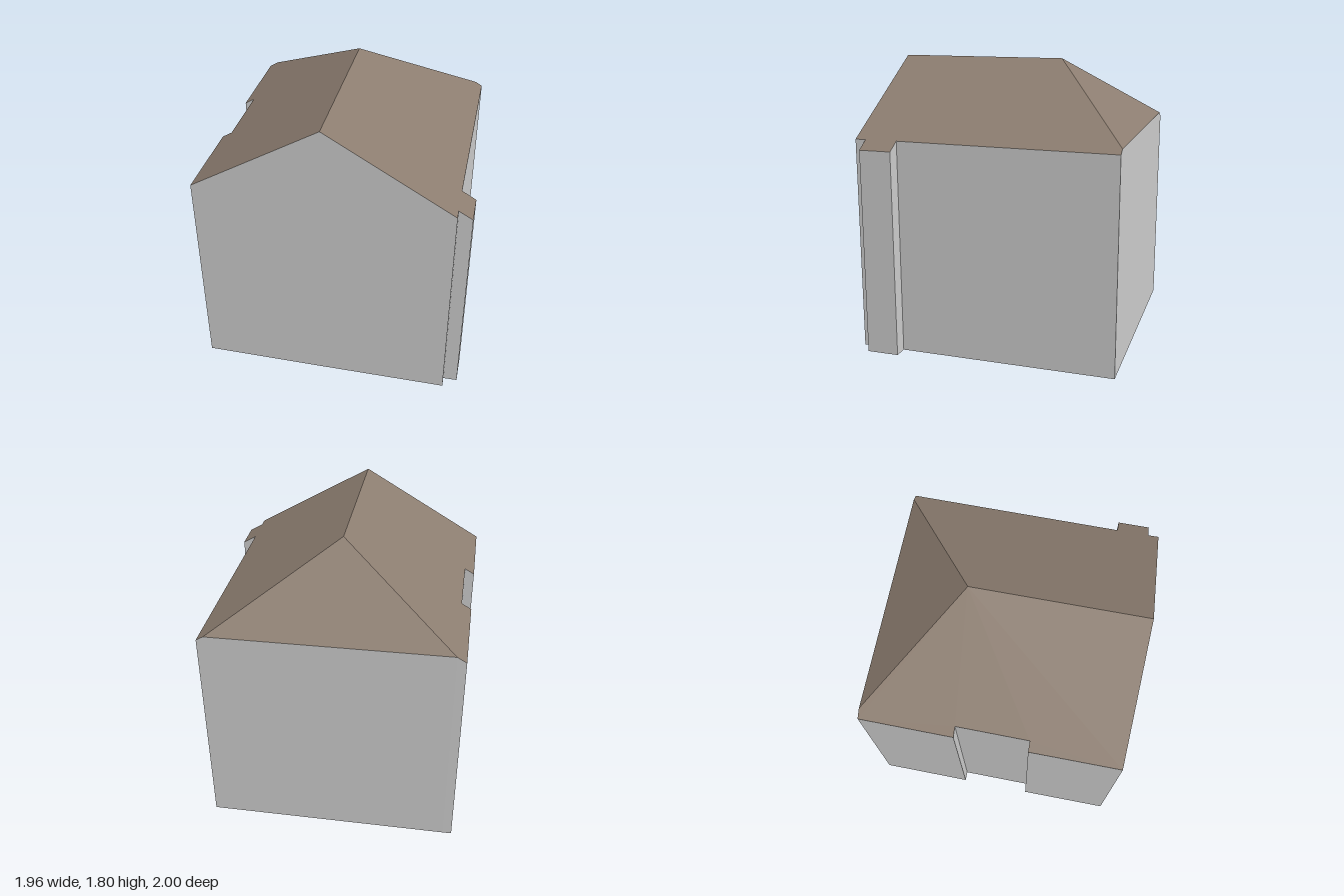
import * as THREE from 'three';

const wallMat = new THREE.MeshStandardMaterial({ color: 0xcccccc });
wallMat.name = 'pale grey walls';
const roofMat = new THREE.MeshStandardMaterial({ color: 0x8c7d70 });
roofMat.name = 'brown roof';

// Ridge ends; the house is turned slightly about the vertical axis
const RIDGE = 1.805;
const front = [-0.22, 0.782], back = [0.075, -0.265];
const len = Math.hypot(back[0] - front[0], back[1] - front[1]);
const dir = [(back[0] - front[0]) / len, (back[1] - front[1]) / len];

// Roof height falls evenly to either side of the ridge line
function lift([x, z]) {
  const across = -(x - front[0]) * dir[1] + (z - front[1]) * dir[0];
  return new THREE.Vector3(x, RIDGE - 0.586 * Math.abs(across), z);
}

// Eave outlines, counter-clockwise seen from above
const rightEave = [
  [0.53, 0.997], [0.547, 0.932], [0.63, 0.955], [0.685, 0.76],
  [0.602, 0.735], [0.98, -0.577], [0.937, -0.589],
].map(lift);
const leftEave = [
  [-0.478, -0.985], [-0.533, -1], [-0.698, -0.43], [-0.64, -0.414],
  [-0.767, 0.026], [-0.826, 0.01], [-0.983, 0.56],
].map(lift);
const ridgeFront = lift(front), ridgeBack = lift(back);
const outline = [ridgeFront, ...rightEave, ...leftEave];

function meshFrom(name, triangles, material) {
  const geometry = new THREE.BufferGeometry().setFromPoints(triangles);
  geometry.computeVertexNormals();
  const mesh = new THREE.Mesh(geometry, material);
  mesh.name = name;
  return mesh;
}

// Fill a polygon that is simple when seen from above
function fill(points, flip = false) {
  const flat = points.map((p) => new THREE.Vector2(p.x, -p.z));
  return THREE.ShapeUtils.triangulateShape(flat, [])
    .flatMap(([a, b, c]) => (flip ? [a, c, b] : [a, b, c]).map((i) => points[i]));
}

export function createModel() {
  const group = new THREE.Group();
  group.name = 'house';

  // Walls rise from the ground to the roof edge
  const ground = outline.map((p) => new THREE.Vector3(p.x, 0, p.z));
  const walls = outline.flatMap((top, i) => {
    const j = (i + 1) % outline.length;
    return [ground[i], ground[j], outline[j], ground[i], outline[j], top];
  });
  group.add(meshFrom('walls', walls, wallMat));
  group.add(meshFrom('floor', fill(ground, true), wallMat));

  // Two long slopes and the hipped back end
  group.add(meshFrom('rightRoofSlope', fill([ridgeFront, ...rightEave, ridgeBack]), roofMat));
  group.add(meshFrom('leftRoofSlope', fill([ridgeBack, ...leftEave, ridgeFront]), roofMat));
  group.add(meshFrom('backRoofHip', fill([ridgeBack, rightEave.at(-1), leftEave[0]]), roofMat));
  return group;
}
